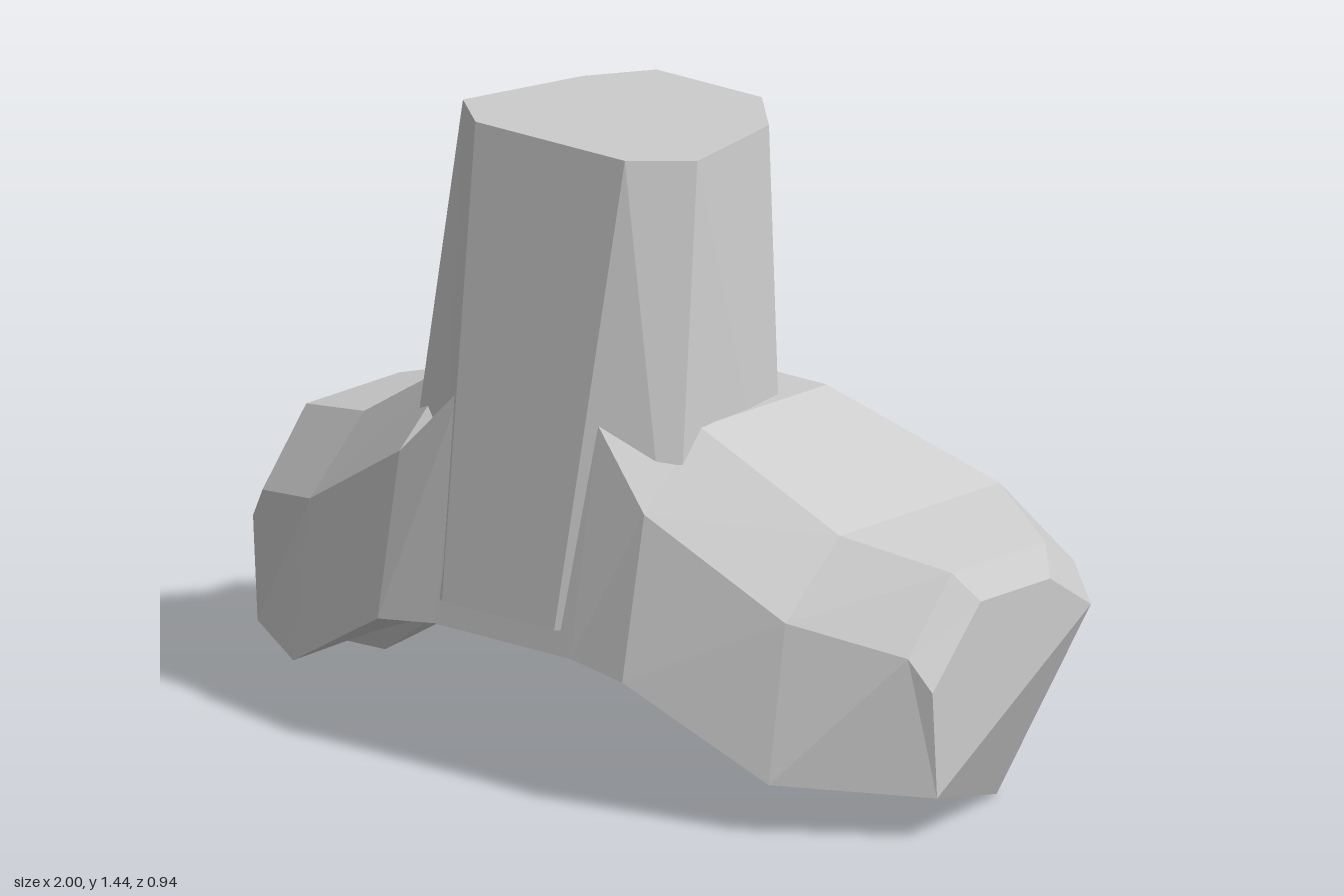
import * as THREE from 'three';

// Skins a list of equal-length rings of [x, y, z] points and caps both ends.
function loft(name, rings) {
  const n = rings[0].length;
  const last = (rings.length - 1) * n;
  const index = [];
  for (let r = 0; r < rings.length - 1; r++) {
    for (let j = 0; j < n; j++) {
      const k = (j + 1) % n;
      const a = r * n + j, b = a + n, c = (r + 1) * n + k, d = r * n + k;
      index.push(a, b, c, a, c, d);
    }
  }
  for (let j = 1; j < n - 1; j++) {
    index.push(0, j, j + 1, last, last + j + 1, last + j);
  }
  let geometry = new THREE.BufferGeometry();
  geometry.setAttribute('position', new THREE.Float32BufferAttribute(rings.flat(2), 3));
  geometry.setIndex(index);
  geometry = geometry.toNonIndexed();
  geometry.computeVertexNormals();
  const material = new THREE.MeshStandardMaterial({ color: 0xcccccc, flatShading: true });
  const mesh = new THREE.Mesh(geometry, material);
  mesh.name = name;
  return mesh;
}

// Half of the shoulders, from the middle outwards. Each ring runs: front hem,
// front ridge, front top, back top, back ridge, back hem, hollow underside (two points).
function shoulderHalf(tipZ, backZ) {
  const at = (x, points) => points.map(([z, y, ownX = x]) => [ownX, y, z]);
  // Lower edge of the arm end, from the low tip to the front corner
  const tip = [tipZ, 0, 0.86];
  const corner = [0.145, 0.1, 1];
  const along = t => corner.map((v, i) => v + (tip[i] - v) * t);
  const edge = [tip, along(2 / 3), along(1 / 3)];
  return [
    at(0.2, [[0.46, 0.33], [0.37, 0.85], [0.21, 0.84], [-0.21, 0.84], [-0.45, 0.57], [-0.455, 0.12], [-0.25, 0.25], [0.15, 0.36]]),
    at(0.36, [[0.468, 0.31], [0.395, 0.68], [0.21, 0.84], [-0.21, 0.84], [-0.45, 0.57], [-0.455, 0.12], [-0.25, 0.22], [0.15, 0.27]]),
    at(0.7, [[0.365, 0.12], [0.31, 0.48], [0.13, 0.64], [-0.4, 0.64], [-0.467, 0.565], [-0.385, 0.125], [-0.15, 0.125], [0.1, 0.125]]),
    at(0.95, [corner, [0.185, 0.42], [0.04, 0.585], [-0.27, 0.585], [backZ, 0.52], ...edge]),
    at(1, [corner, [0.16, 0.345], [0, 0.52], [-0.23, 0.52], [backZ, 0.43], ...edge]),
  ];
}

export function createModel() {
  const group = new THREE.Group();
  group.name = 'shouldersAndNeck';

  // The two arm ends differ slightly in depth
  const left = shoulderHalf(-0.21, -0.365);
  const right = shoulderHalf(-0.12, -0.345)
    .map(ring => ring.map(([x, y, z]) => [-x, y, z])).reverse();
  group.add(loft('shoulders', [...right, ...left]));

  // Slightly lopsided eight-sided neck, leaning back as it rises
  const level = (y, points) => points.map(([x, z]) => [x, y, z]);
  group.add(loft('neck', [
    level(0.385, [[0.15, 0.457], [-0.18, 0.457], [-0.42, 0.335], [-0.38, -0.06], [-0.22, -0.2], [0.16, -0.2], [0.37, -0.06], [0.395, 0.335]]),
    level(1.44, [[0.21, 0.29], [-0.23, 0.29], [-0.36, 0.185], [-0.28, -0.12], [-0.19, -0.265], [0.12, -0.265], [0.27, -0.12], [0.33, 0.185]]),
  ]));

  return group;
}
